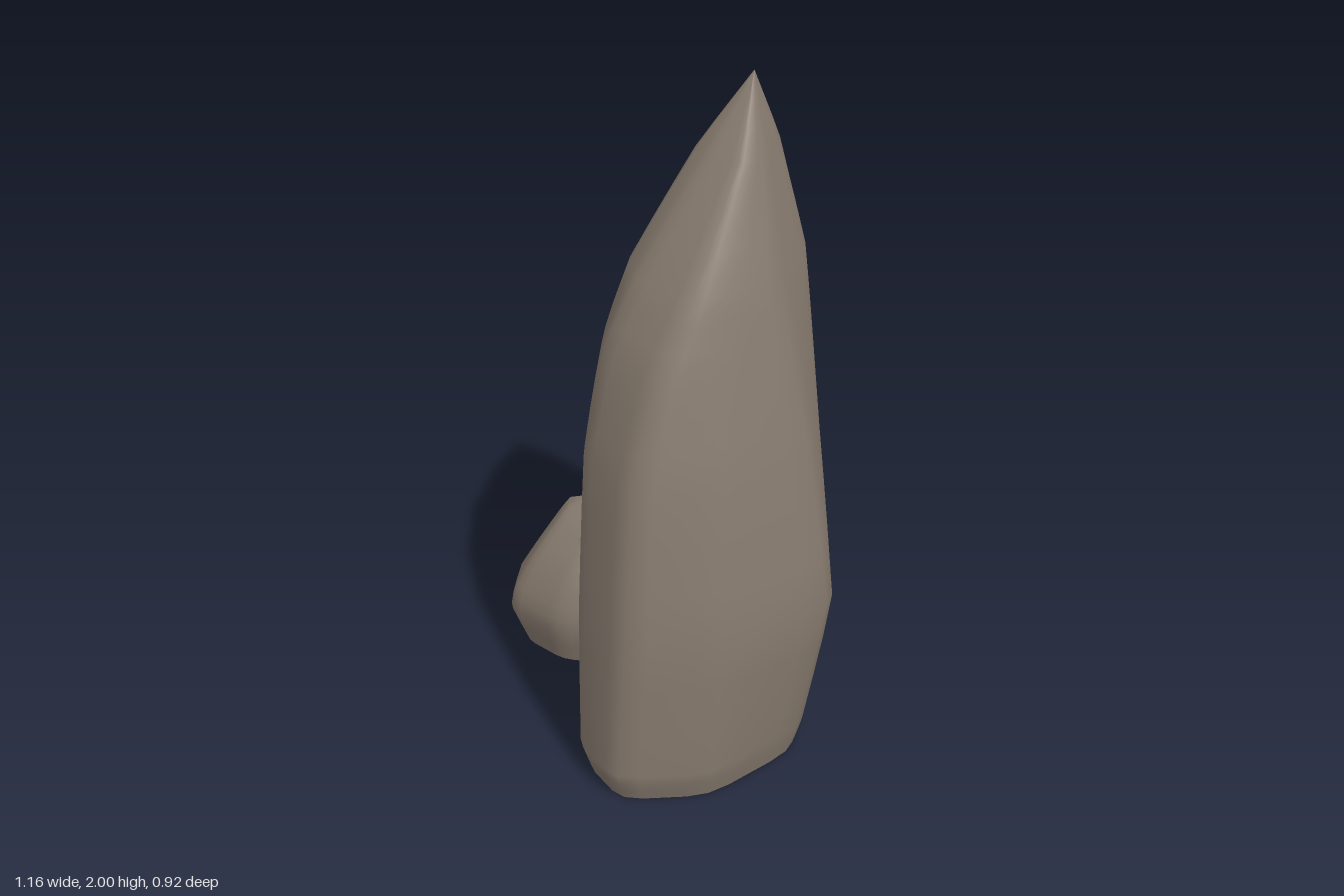
import * as THREE from 'three';

const stone = new THREE.MeshStandardMaterial({ color: 0x85796d });
stone.name = 'warm grey stone';

// Each row is a height followed by the x, z of every corner, counterclockwise from above.
const tallRows = [
  [0.10, [-.08, -.15], [-.08, .11], [-.015, .385], [.17, .48], [.40, .325], [.525, 0], [.47, -.18], [.29, -.245], [.08, -.23]],
  [0.55, [-.11, -.18], [-.11, .06], [-.035, .35], [.19, .465], [.42, .31], [.60, -.02], [.495, -.215], [.30, -.29], [.09, -.27]],
  [1.00, [-.13, -.18], [-.13, .04], [-.055, .275], [.18, .405], [.375, .24], [.515, -.03], [.425, -.26], [.29, -.345], [.10, -.33]],
  [1.30, [-.085, -.17], [-.11, .03], [-.03, .20], [.205, .31], [.335, .16], [.435, -.04], [.375, -.285], [.285, -.37], [.11, -.36]],
  [1.50, [-.03, -.17], [-.05, .02], [.03, .12], [.245, .185], [.32, .07], [.375, -.05], [.345, -.29], [.275, -.375], [.13, -.37]],
  [1.80, [.085, -.20], [.08, -.11], [.14, -.07], [.245, -.06], [.27, -.10], [.28, -.14], [.27, -.25], [.24, -.305], [.17, -.305]],
];
const tallTip = [2, ...Array(9).fill([.20, -.22])];

const smallRows = [
  [0.13, [-.595, -.18], [-.53, -.04], [-.33, 0], [-.12, -.08], [-.09, -.33], [-.39, -.47]],
  [0.22, [-.575, -.19], [-.515, -.05], [-.32, -.005], [-.10, -.10], [-.085, -.35], [-.395, -.475]],
  [0.33, [-.515, -.22], [-.47, -.10], [-.30, -.05], [-.10, -.14], [-.085, -.29], [-.39, -.41]],
  [0.42, [-.465, -.25], [-.43, -.17], [-.28, -.13], [-.15, -.18], [-.14, -.27], [-.36, -.345]],
  [0.465, [-.435, -.26], [-.41, -.22], [-.28, -.20], [-.19, -.215], [-.185, -.25], [-.345, -.305]],
];
const smallTop = [0.49, [-.37, -.26], [-.36, -.245], [-.28, -.235], [-.225, -.235], [-.225, -.25], [-.32, -.275]];

// The foot on the ground is the lowest row tucked in towards its middle.
function footOf([, ...corners], tuck) {
  const mean = (k) => corners.reduce((sum, c) => sum + c[k], 0) / corners.length;
  const mx = mean(0), mz = mean(1);
  return [0, ...corners.map(([x, z]) => [mx + (x - mx) * tuck, mz + (z - mz) * tuck])];
}

// Bevel each corner of a cross-section into three points.
function roundCorners(corners, cut) {
  const n = corners.length;
  return corners.flatMap((p, i) => {
    const a = p.clone().lerp(corners[(i + n - 1) % n], cut);
    const b = p.clone().lerp(corners[(i + 1) % n], cut);
    const mid = a.clone().add(b).multiplyScalar(0.25).addScaledVector(p, 0.5);
    return [a, mid, b];
  });
}

// Bisect a rising curve for the point at height y.
function pointAtHeight(curve, y) {
  let lo = 0, hi = 1;
  for (let i = 0; i < 30; i++) {
    const t = (lo + hi) / 2;
    if (curve.getPoint(t).y < y) lo = t; else hi = t;
  }
  return curve.getPoint(hi).setY(y);
}

function makeRock(name, rows, cut, steps) {
  // Ridge curves run up the rock through matching corners.
  const ridges = rows[0].slice(1).map((_, c) => new THREE.CatmullRomCurve3(
    rows.map((r) => new THREE.Vector3(r[c + 1][0], r[0], r[c + 1][1])), false, 'catmullrom', 0.15));
  const levels = (rows.length - 1) * steps;
  const rings = [];
  for (let k = 0; k <= levels; k++) {
    const row = Math.min(Math.floor(k / steps), rows.length - 2);
    const y = THREE.MathUtils.lerp(rows[row][0], rows[row + 1][0], k / steps - row);
    rings.push(roundCorners(ridges.map((r) => pointAtHeight(r, y)), cut));
  }

  const pos = [], index = [], n = rings[0].length;
  const add = (p) => pos.push(p.x, p.y, p.z) / 3 - 1;
  rings.forEach((ring) => ring.forEach(add));
  for (let k = 0; k < levels; k++) {
    for (let i = 0; i < n; i++) {
      const a = k * n + i, b = k * n + (i + 1) % n;
      index.push(a, b, b + n, a, b + n, a + n);
    }
  }
  // End caps have their own vertices so their rims stay sharp.
  for (const [ring, up] of [[rings[0], false], [rings[levels], true]]) {
    const centre = ring.reduce((s, p) => s.add(p), new THREE.Vector3()).divideScalar(n);
    const c = add(centre), first = c + 1;
    ring.forEach(add);
    for (let i = 0; i < n; i++) {
      const a = first + i, b = first + (i + 1) % n;
      if (up) index.push(c, a, b); else index.push(c, b, a);
    }
  }
  const geometry = new THREE.BufferGeometry();
  geometry.setAttribute('position', new THREE.Float32BufferAttribute(pos, 3));
  geometry.setIndex(index);
  geometry.computeVertexNormals();
  const mesh = new THREE.Mesh(geometry, stone);
  mesh.name = name;
  return mesh;
}

export function createModel() {
  const group = new THREE.Group();
  group.name = 'standingRocks';
  group.add(makeRock('tallRock', [footOf(tallRows[0], 0.92), ...tallRows, tallTip], 0.25, 3));
  group.add(makeRock('smallRock', [footOf(smallRows[0], 0.77), ...smallRows, smallTop], 0.2, 2));
  return group;
}
